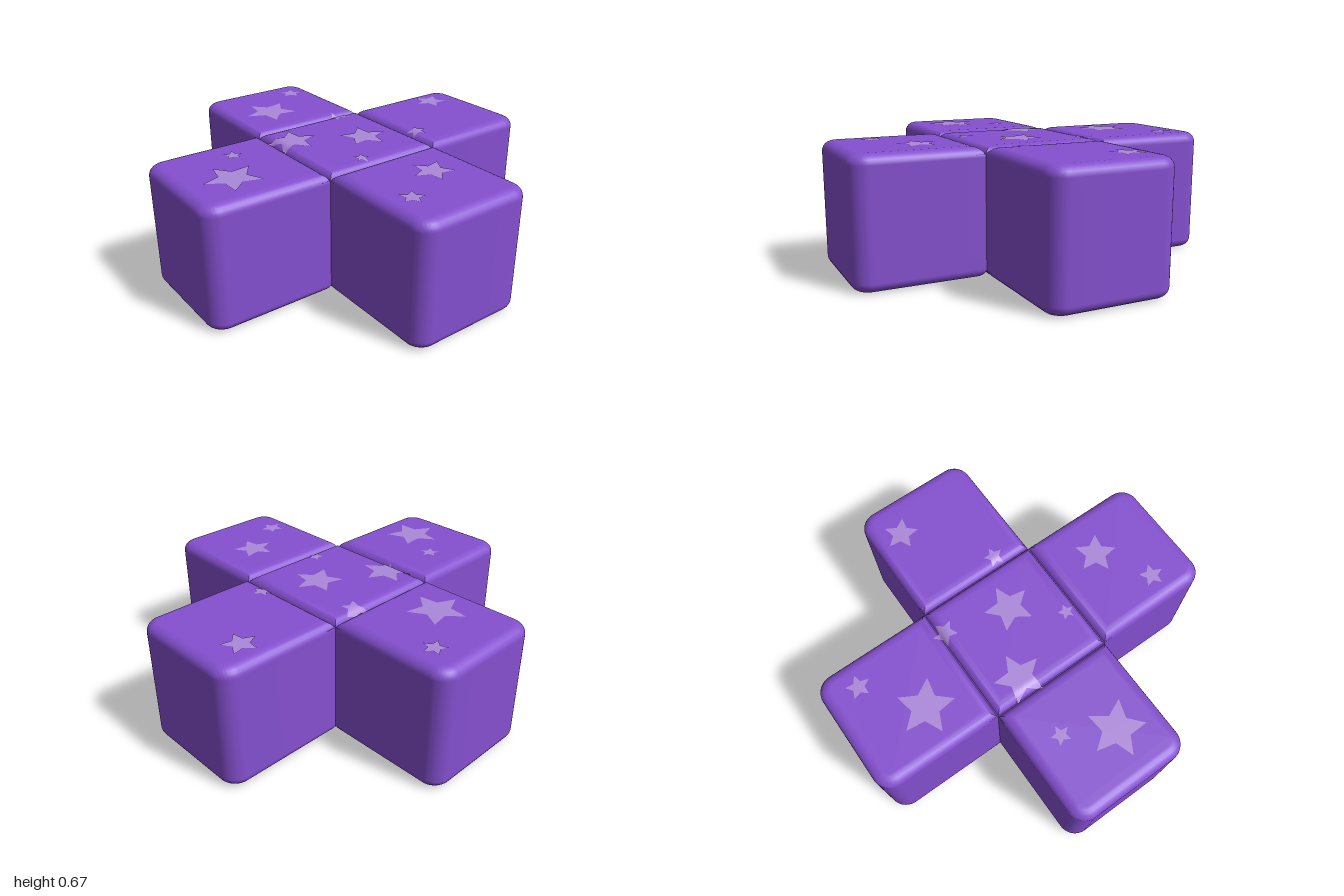
import * as THREE from 'three';
import { toCreasedNormals } from 'three/addons/utils/BufferGeometryUtils.js';

const THIRD = 1 / 3;      // half width of one block
const H = 2 / 3;          // block height
const BW = 0.06;          // bevel width
const BH = 0.052;         // bevel height
const NOTCH = 0.037;      // depth of the groove between blocks

// Extrude a plan outline upward with rounded top and bottom edges
function block(shape) {
  let geo = new THREE.ExtrudeGeometry(shape, {
    depth: H - 2 * BH, curveSegments: 8, bevelEnabled: true,
    bevelThickness: BH, bevelSize: BW, bevelOffset: -BW, bevelSegments: 6,
  });
  geo.translate(0, 0, BH);
  geo.rotateX(-Math.PI / 2);
  geo = toCreasedNormals(geo, 0.7);
  // Keep the top, bottom and walls truly flat where the bevels meet them
  const p = geo.attributes.position, n = geo.attributes.normal;
  const v = new THREE.Vector3();
  for (let i = 0; i < p.count; i++) {
    const y = p.getY(i);
    v.fromBufferAttribute(n, i);
    if (y > H - 1e-4) v.set(0, 1, 0);
    else if (y < 1e-4) v.set(0, -1, 0);
    else if (y > BH - 1e-4 && y < H - BH + 1e-4) v.setY(0).normalize();
    n.setXYZ(i, v.x, v.y, v.z);
  }
  return geo;
}

// Square inner end, rounded outer corners
function armShape() {
  const r = 0.095, a = THIRD, s = new THREE.Shape();
  s.moveTo(a, -a);
  s.lineTo(1 - r, -a);
  s.absarc(1 - r, -a + r, r, -Math.PI / 2, 0, false);
  s.lineTo(1, a - r);
  s.absarc(1 - r, a - r, r, 0, Math.PI / 2, false);
  s.lineTo(a, a);
  s.closePath();
  return s;
}

function squareShape() {
  const a = THIRD, s = new THREE.Shape();
  s.moveTo(-a, -a);
  s.lineTo(a, -a);
  s.lineTo(a, a);
  s.lineTo(-a, a);
  s.closePath();
  return s;
}

// Height of the top surface, dipping into the grooves
function topHeight(x, z) {
  const d = Math.min(Math.abs(Math.abs(x) - THIRD), Math.abs(Math.abs(z) - THIRD));
  if (d >= BW) return H;
  const k = 1 - d / BW;
  return H - Math.min(NOTCH, BH * (1 - Math.sqrt(1 - k * k)));
}

// Thin star draped over the top surface
function starGeometry(cx, cz, r, degrees) {
  const rings = 14, sub = 5, around = 10 * sub;
  const corner = (i) => {
    const a = THREE.MathUtils.degToRad(degrees) + (i * Math.PI) / 5;
    const q = i % 2 ? r * 0.48 : r;
    return new THREE.Vector2(Math.cos(a) * q, Math.sin(a) * q);
  };
  const pos = [], idx = [];
  for (let k = 0; k <= rings; k++) {
    for (let j = 0; j < around; j++) {
      const i = Math.floor(j / sub);
      const e = corner(i).lerp(corner((i + 1) % 10), (j % sub) / sub);
      const x = cx + (e.x * k) / rings, z = cz + (e.y * k) / rings;
      pos.push(x, topHeight(x, z) + 0.003, z);
      if (k === rings) continue;
      const a = k * around + j, b = k * around + ((j + 1) % around);
      if (k > 0) idx.push(a, b, a + around);
      idx.push(b, b + around, a + around);
    }
  }
  const geo = new THREE.BufferGeometry();
  geo.setAttribute('position', new THREE.Float32BufferAttribute(pos, 3));
  geo.setIndex(idx);
  geo.computeVertexNormals();
  return geo;
}

export function createModel() {
  const purple = new THREE.MeshStandardMaterial({ color: 0x8550d0, name: 'purple' });
  const lilac = new THREE.MeshStandardMaterial({ color: 0xac88da, name: 'lilac', side: THREE.DoubleSide });
  const model = new THREE.Group();
  model.name = 'starryCross';
  const add = (geo, mat, name) => {
    const mesh = new THREE.Mesh(geo, mat);
    mesh.name = name;
    model.add(mesh);
    return mesh;
  };

  // Centre block and four arms
  add(block(squareShape()), purple, 'centreBlock');
  const arm = block(armShape());
  ['leftArm', 'backArm', 'rightArm', 'frontArm'].forEach((name, i) => {
    add(arm, purple, name).rotation.y = (i * Math.PI) / 2;
  });

  // Groove floors joining the blocks
  const joint = new THREE.BoxGeometry(0.1, H - 2 * NOTCH, 2 * THIRD - 0.004);
  for (let i = 0; i < 4; i++) {
    const a = (i * Math.PI) / 2;
    const mesh = add(joint, purple, 'joint');
    mesh.position.set(Math.cos(a) * THIRD, H / 2, -Math.sin(a) * THIRD);
    mesh.rotation.y = a;
  }

  // Stars: x, z, radius, direction of one point in degrees
  const stars = [
    [-0.18, -0.785, 0.093, 90], [0.147, -0.385, 0.055, -85],
    [-0.815, -0.185, 0.064, -78], [-0.6, 0.095, 0.15, 90],
    [-0.305, -0.178, 0.068, -105], [0.04, -0.1, 0.13, -86],
    [-0.135, 0.24, 0.132, -86], [0.267, 0.092, 0.044, -80],
    [0.595, -0.085, 0.112, 90], [0.757, 0.187, 0.065, -70],
    [-0.145, 0.595, 0.052, -15], [0.095, 0.727, 0.15, 96],
  ];
  stars.forEach((s) => add(starGeometry(...s), lilac, 'star'));
  return model;
}
